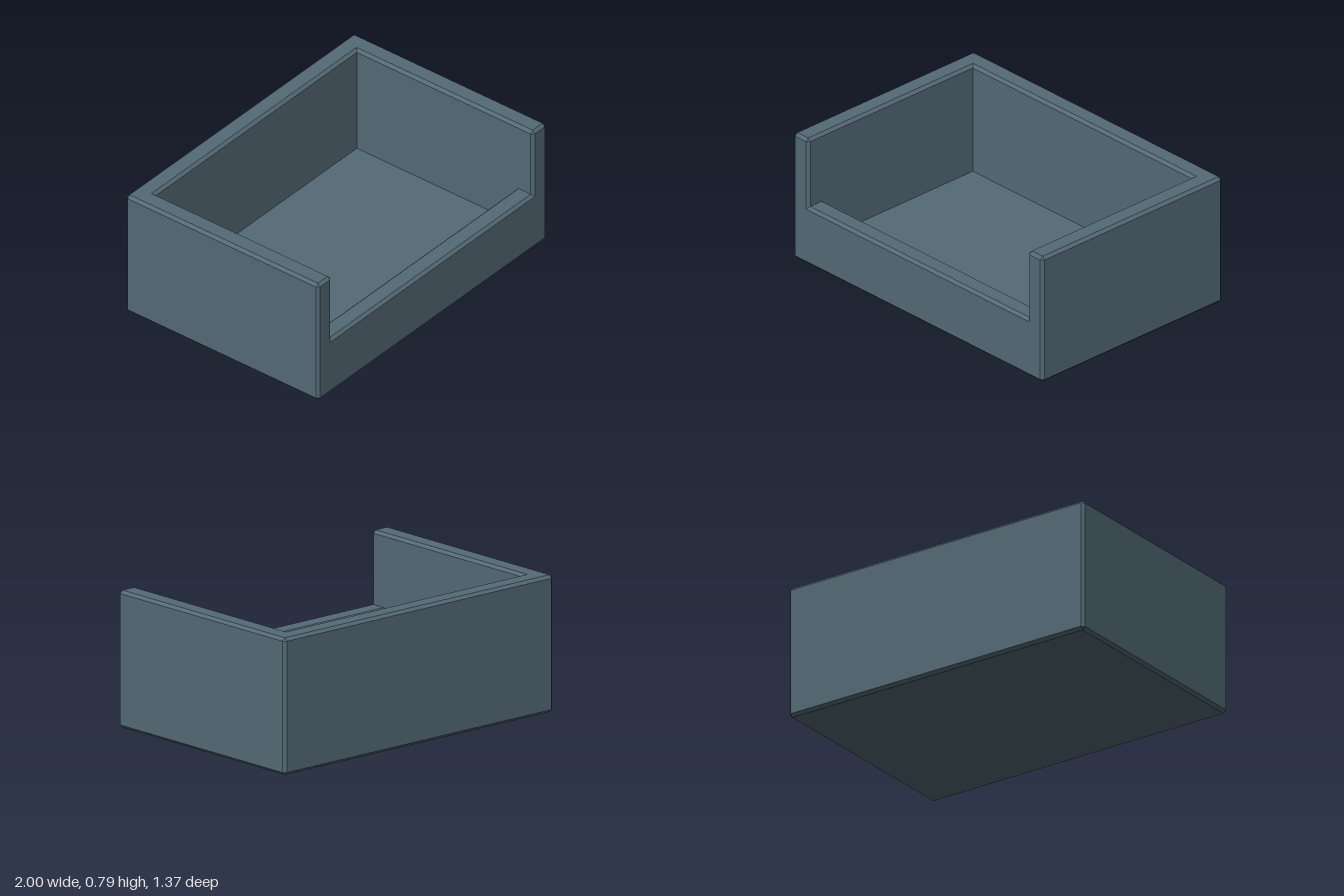
import * as THREE from 'three';
import { ConvexGeometry } from 'three/addons/geometries/ConvexGeometry.js';

const W = 2, H = 0.785, D = 1.372;   // overall size
const T = 0.12;                      // wall and floor thickness
const LIP = 0.361;                   // height of the low front wall
const BEVEL = 0.017;

// Box with flat chamfers on every edge, centred on its origin
function chamferedBox(w, h, d, b) {
  const points = [];
  for (const sx of [-1, 1]) for (const sy of [-1, 1]) for (const sz of [-1, 1]) {
    const x = w / 2, y = h / 2, z = d / 2;
    points.push(
      new THREE.Vector3(sx * x, sy * (y - b), sz * (z - b)),
      new THREE.Vector3(sx * (x - b), sy * y, sz * (z - b)),
      new THREE.Vector3(sx * (x - b), sy * (y - b), sz * z)
    );
  }
  return new ConvexGeometry(points);
}

export function createModel() {
  const group = new THREE.Group();
  group.name = 'openFrontTray';
  const material = new THREE.MeshStandardMaterial({ color: 0x546a76 });

  // All panels stand on y = 0
  const addPanel = (name, w, h, d, x, z) => {
    const mesh = new THREE.Mesh(chamferedBox(w, h, d, BEVEL), material);
    mesh.name = name;
    mesh.position.set(x, h / 2, z);
    group.add(mesh);
  };

  // Panels overlap at the corners so that their chamfers meet in mitres
  addPanel('floor', W, T, D, 0, 0);
  addPanel('backWall', W, H, T, 0, -(D - T) / 2);
  addPanel('frontLip', W, LIP, T, 0, (D - T) / 2);
  addPanel('leftWall', T, H, D, (W - T) / 2, 0);
  addPanel('rightWall', T, H, D, -(W - T) / 2, 0);

  return group;
}
